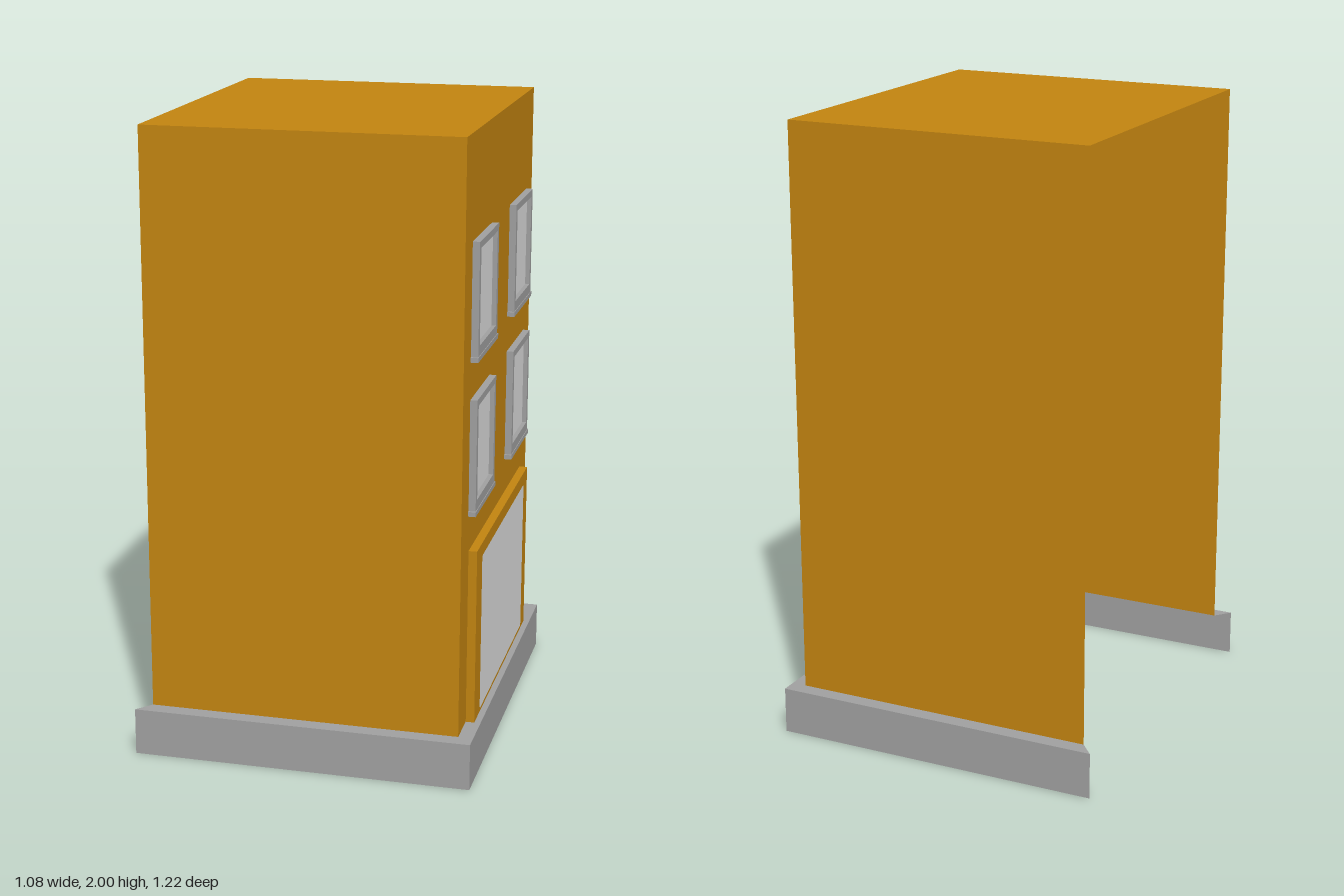
import * as THREE from 'three';

const wallMat = new THREE.MeshStandardMaterial({ color: 0xc28410, side: THREE.DoubleSide });
wallMat.name = 'ochre wall';
const stoneMat = new THREE.MeshStandardMaterial({ color: 0xa0a0a0, side: THREE.DoubleSide });
stoneMat.name = 'grey stone';
const glassMat = new THREE.MeshStandardMaterial({ color: 0xdcdcdc });
glassMat.name = 'pale glass';

function addMesh(parent, name, geometry, material, x = 0, y = 0, z = 0) {
  const mesh = new THREE.Mesh(geometry, material);
  mesh.name = name;
  mesh.position.set(x, y, z);
  parent.add(mesh);
  return mesh;
}

// Flat-faced band joining two [x, z] paths, each at its own height
function ribbon(lower, yLower, upper, yUpper) {
  const positions = [];
  for (let i = 0; i < lower.length - 1; i++) {
    const a = [lower[i][0], yLower, lower[i][1]];
    const b = [lower[i + 1][0], yLower, lower[i + 1][1]];
    const c = [upper[i + 1][0], yUpper, upper[i + 1][1]];
    const d = [upper[i][0], yUpper, upper[i][1]];
    positions.push(...a, ...b, ...c, ...a, ...c, ...d);
  }
  const geometry = new THREE.BufferGeometry();
  geometry.setAttribute('position', new THREE.Float32BufferAttribute(positions, 3));
  geometry.computeVertexNormals();
  return geometry;
}

// U-shaped plan, open towards -x
const plan = (x0, x1, z) => [[x0, z], [x1, z], [x1, -z], [x0, -z]];

// Rectangle with clipped corners, centred on the origin
function clippedRect(w, h, c) {
  const x = w / 2, y = h / 2;
  return new THREE.Shape([
    [-x + c, -y], [x - c, -y], [x, -y + c], [x, y - c],
    [x - c, y], [-x + c, y], [-x, y - c], [-x, -y + c],
  ].map(([px, py]) => new THREE.Vector2(px, py)));
}

// Flat pane facing +x
const pane = (w, h, c) => new THREE.ShapeGeometry(clippedRect(w, h, c)).rotateY(Math.PI / 2);

const FACE = 0.493; // facade plane

function makeWindow(y, z) {
  const group = new THREE.Group();
  group.name = 'window';
  const w = 0.305, h = 0.35, border = 0.022;

  // Rectangular frame with an opening
  const frame = new THREE.Shape([
    new THREE.Vector2(-w / 2, -h / 2), new THREE.Vector2(w / 2, -h / 2),
    new THREE.Vector2(w / 2, h / 2), new THREE.Vector2(-w / 2, h / 2),
  ]);
  const iw = w / 2 - border, ih = h / 2 - border;
  frame.holes.push(new THREE.Path([
    new THREE.Vector2(-iw, -ih + 0.01), new THREE.Vector2(-iw, ih),
    new THREE.Vector2(iw, ih), new THREE.Vector2(iw, -ih + 0.01),
  ]));
  const frameGeometry = new THREE.ExtrudeGeometry(frame, { depth: 0.022, bevelEnabled: false });
  addMesh(group, 'windowFrame', frameGeometry.rotateY(Math.PI / 2), stoneMat);

  // Backing, glass and sill
  addMesh(group, 'windowBacking', pane(w - 0.03, h - 0.03, 0), stoneMat, 0.004);
  addMesh(group, 'windowGlass', pane(0.254, 0.322, 0.016), glassMat, 0.008, -0.002);
  addMesh(group, 'windowSill', new THREE.BoxGeometry(0.024, 0.015, 0.322), stoneMat, 0.012, -h / 2 - 0.0065);

  group.position.set(FACE, y, z);
  return group;
}

export function createModel() {
  const model = new THREE.Group();
  model.name = 'building';

  // Wall shell and flat roof
  const wallPlan = plan(-0.497, FACE, 0.562);
  addMesh(model, 'walls', ribbon(wallPlan, 0.15, wallPlan, 2), wallMat);
  const roof = new THREE.PlaneGeometry(0.99, 1.124).rotateX(-Math.PI / 2);
  addMesh(model, 'roof', roof, wallMat, -0.002, 2, 0);

  // Plinth with mitred ledge
  const plinthPlan = plan(-0.54, 0.54, 0.612);
  addMesh(model, 'plinth', ribbon(plinthPlan, 0, plinthPlan, 0.15), stoneMat);
  addMesh(model, 'plinthLedge', ribbon(plinthPlan, 0.15, wallPlan, 0.15), stoneMat);

  // Two rows of paired windows
  for (const y of [1.021, 1.503]) {
    for (const z of [-0.303, 0.303]) model.add(makeWindow(y, z));
  }

  // Shopfront surround and its large pane
  addMesh(model, 'shopfrontSurround', new THREE.BoxGeometry(0.027, 0.565, 0.89), wallMat, FACE + 0.0135, 0.4325, 0);
  addMesh(model, 'shopfrontPane', pane(0.738, 0.512, 0.008), glassMat, FACE + 0.029, 0.42, 0);

  return model;
}
